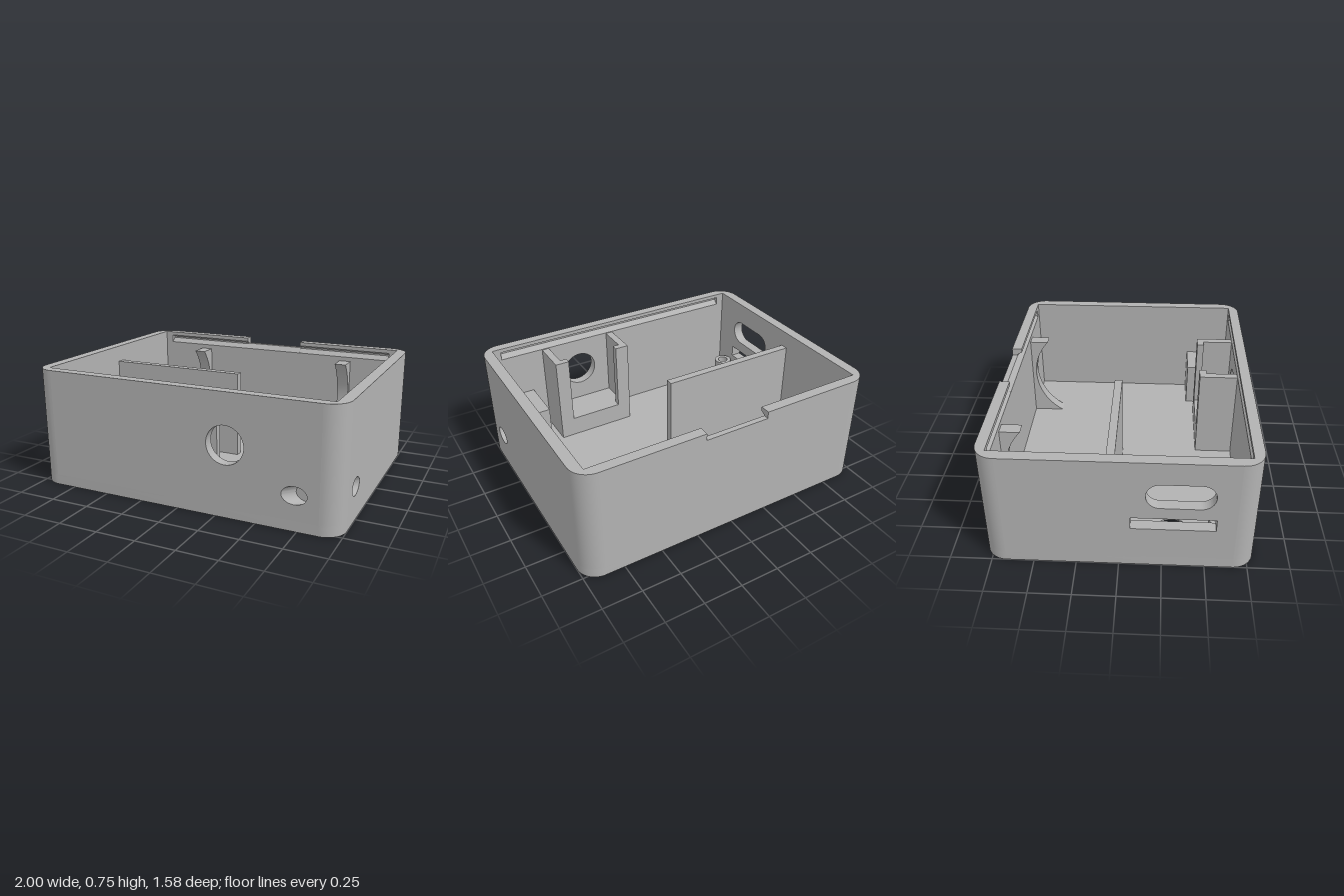
import * as THREE from 'three';
import { toCreasedNormals } from 'three/addons/utils/BufferGeometryUtils.js';

const X = 1, Z = 0.79, R = 0.125;       // outer half sizes and corner radius
const IX = 0.93, IZ = 0.725;            // inner half sizes
const H = 0.75, FLOOR = 0.065, RAIL = 0.66;

export function createModel() {
  const group = new THREE.Group();
  const grey = new THREE.MeshStandardMaterial({ color: 0xb2b2b2, side: THREE.DoubleSide });
  grey.name = 'grey plastic';

  const add = (name, geo) => {
    const mesh = new THREE.Mesh(geo, grey);
    mesh.name = name;
    group.add(mesh);
    return mesh;
  };
  const box = (name, x0, x1, y0, y1, z0, z1) =>
    add(name, new THREE.BoxGeometry(x1 - x0, y1 - y0, z1 - z0)
      .translate((x0 + x1) / 2, (y0 + y1) / 2, (z0 + z1) / 2));
  const poly = (pts) => new THREE.Shape(pts.map(([a, b]) => new THREE.Vector2(a, b)));
  const rect = (a0, a1, b0, b1) => poly([[a0, b0], [a1, b0], [a1, b1], [a0, b1]]);
  const ellipse = (a, b, ra, rb = ra) => new THREE.Path().absellipse(a, b, ra, rb, 0, Math.PI * 2);
  const extrude = (shape, depth) => toCreasedNormals(
    new THREE.ExtrudeGeometry(shape, { depth, bevelEnabled: false, curveSegments: 24 }), 0.6);
  // shape drawn in (x, z), raised from y0 to y1
  const plan = (name, shape, y0, y1) =>
    add(name, extrude(shape, y1 - y0).rotateX(Math.PI / 2).translate(0, y1, 0));
  // shape drawn in (z, y), running from x0 to x1
  const section = (name, shape, x0, x1) =>
    add(name, extrude(shape, x1 - x0).rotateY(-Math.PI / 2).translate(x1, 0, 0));

  // rounded corner arc around one vertical edge
  const arc = (sx, sz) => Array.from({ length: 13 }, (_, i) => {
    const a = (i / 12) * Math.PI / 2;
    return [sx * (X - R + R * Math.sin(a)), sz * (Z - R + R * Math.cos(a))];
  });

  // floor in two layers, with a countersunk hole and two screw holes
  const floorLayer = (name, holeRadius, y0, y1) => {
    const s = poly([...arc(1, 1), ...arc(1, -1).reverse(), ...arc(-1, -1), ...arc(-1, 1).reverse()]);
    s.holes.push(ellipse(-0.78, 0.31, holeRadius), ellipse(-0.86, 0.09, 0.036), ellipse(-0.86, 0.58, 0.036));
    plan(name, s, y0, y1);
  };
  floorLayer('floorBottom', 0.17, 0, 0.055);
  floorLayer('floorTop', 0.107, 0.055, FLOOR);
  add('countersink', new THREE.CylinderGeometry(0.107, 0.17, 0.055, 48, 1, true)
    .translate(-0.78, 0.0275, 0.31));

  // corner posts
  for (const sx of [-1, 1]) for (const sz of [-1, 1]) {
    const inner = [[IX, Z - R], [IX, IZ], [X - R, IZ]].map(([x, z]) => [sx * x, sz * z]);
    plan('cornerPost', poly([...arc(sx, sz), ...inner]), FLOOR, H);
  }

  // front wall with the round opening, leaving room for the cord tunnel
  const EX = X - R, EZ = Z - R;
  const front = poly([[-EX, FLOOR], [0.64, FLOOR], [0.64, 0.36], [EX, 0.36], [EX, RAIL], [-EX, RAIL]]);
  front.holes.push(ellipse(0.313, 0.44, 0.117));
  add('frontWall', extrude(front, Z - IZ).translate(0, 0, IZ));
  box('frontWallInner', 0.64, 0.69, FLOOR, 0.36, IZ, IZ + 0.005);
  const frontFace = rect(0.64, EX, FLOOR, 0.36);
  frontFace.holes.push(ellipse(0.73, 0.213, 0.075, 0.053));
  add('frontTunnelFace', new THREE.ShapeGeometry(frontFace, 24).translate(0, 0, Z));

  // right-hand (+x) wall
  box('sideWallUpper', IX, X, 0.36, H, -EZ, EZ);
  box('sideWallLower', IX, X, FLOOR, 0.36, -EZ, 0.435);
  const sideFace = rect(-EZ, -0.435, FLOOR, 0.36);
  sideFace.holes.push(ellipse(-0.52, 0.213, 0.075, 0.053));
  add('sideTunnelFace', new THREE.ShapeGeometry(sideFace, 24).rotateY(Math.PI / 2).translate(X, 0, 0));

  // diagonal cord tunnel, its ends cut flush with both faces
  const tunnel = new THREE.CylinderGeometry(1, 1, 1, 48, 1, true);
  const p = tunnel.attributes.position;
  for (let i = 0; i < p.count; i++) {
    const c = 0.075 * p.getX(i), y = 0.213 + 0.053 * p.getZ(i);
    if (p.getY(i) > 0) p.setXYZ(i, 0.73 + c, y, Z);
    else p.setXYZ(i, X, y, 0.52 + c);
  }
  add('cordTunnel', toCreasedNormals(tunnel, 0.6));
  box('cornerBlock', 0.68, IX, FLOOR, 0.37, 0.43, IZ);

  // opposite (-x) wall with a rounded slot and a rectangular slot
  const slotWall = rect(-EZ, EZ, FLOOR, H);
  const r = 0.083, slot = new THREE.Path();
  slot.absarc(0.54 - r, 0.52, r, -Math.PI / 2, Math.PI / 2);
  slot.absarc(0.15 + r, 0.52, r, Math.PI / 2, Math.PI * 1.5);
  slot.closePath();
  slotWall.holes.push(slot, rect(0.066, 0.552, 0.28, 0.36));
  section('slotWall', slotWall, -X, -IX);

  // back wall and the grooved lid rails, with a notch at the back
  box('backWall', -EX, EX, FLOOR, RAIL, -Z, -IZ);
  const rail = (s) => poly([[Z, RAIL], [IZ, RAIL], [IZ, 0.67], [0.755, 0.7], [0.755, 0.71],
    [IZ, 0.725], [IZ, H], [Z, H]].map(([z, y]) => [s * z, y]));
  section('frontRail', rail(1), -EX, EX);
  section('backRail', rail(-1), -EX, -0.213);
  section('backRail', rail(-1), 0.21, EX);
  section('notchSill', poly([[-Z, RAIL], [-IZ, RAIL], [-IZ, 0.67], [-0.755, 0.705], [-Z, 0.705]]), -0.213, 0.21);

  // concave cradles on the back wall
  const cradle = [[-IZ, 0.64], [-IZ, FLOOR]];
  const a0 = Math.PI + Math.atan2(0.32, 0.195), a1 = Math.PI - Math.atan2(0.255, 0.275);
  for (let i = 0; i <= 20; i++) {
    const a = a0 + (a1 - a0) * i / 20;
    cradle.push([-0.325 + 0.375 * Math.cos(a), 0.385 + 0.375 * Math.sin(a)]);
  }
  for (const x of [-0.605, 0.52]) section('cradle', poly(cradle), x, x + 0.08);

  // inner divider
  box('divider', -IX, 0.02, FLOOR, 0.64, -0.08, -0.03);

  // board holder behind the round opening
  box('holderBase', 0.042, 0.584, FLOOR, 0.2, 0.48, IZ);
  for (const s of [-1, 1]) {
    const pts = [[0.271, 0.48], [0.271, IZ], [0.222, IZ], [0.222, 0.525], [0.178, 0.525], [0.178, 0.48]];
    plan('holderArm', poly(pts.map(([x, z]) => [0.313 + s * x, z])), 0.2, 0.665);
  }

  // hollow screw boss
  const boss = new THREE.Shape().absarc(-0.86, 0.58, 0.062, 0, Math.PI * 2);
  boss.holes.push(ellipse(-0.86, 0.58, 0.036));
  plan('screwBoss', boss, FLOOR, 0.25);

  return group;
}
